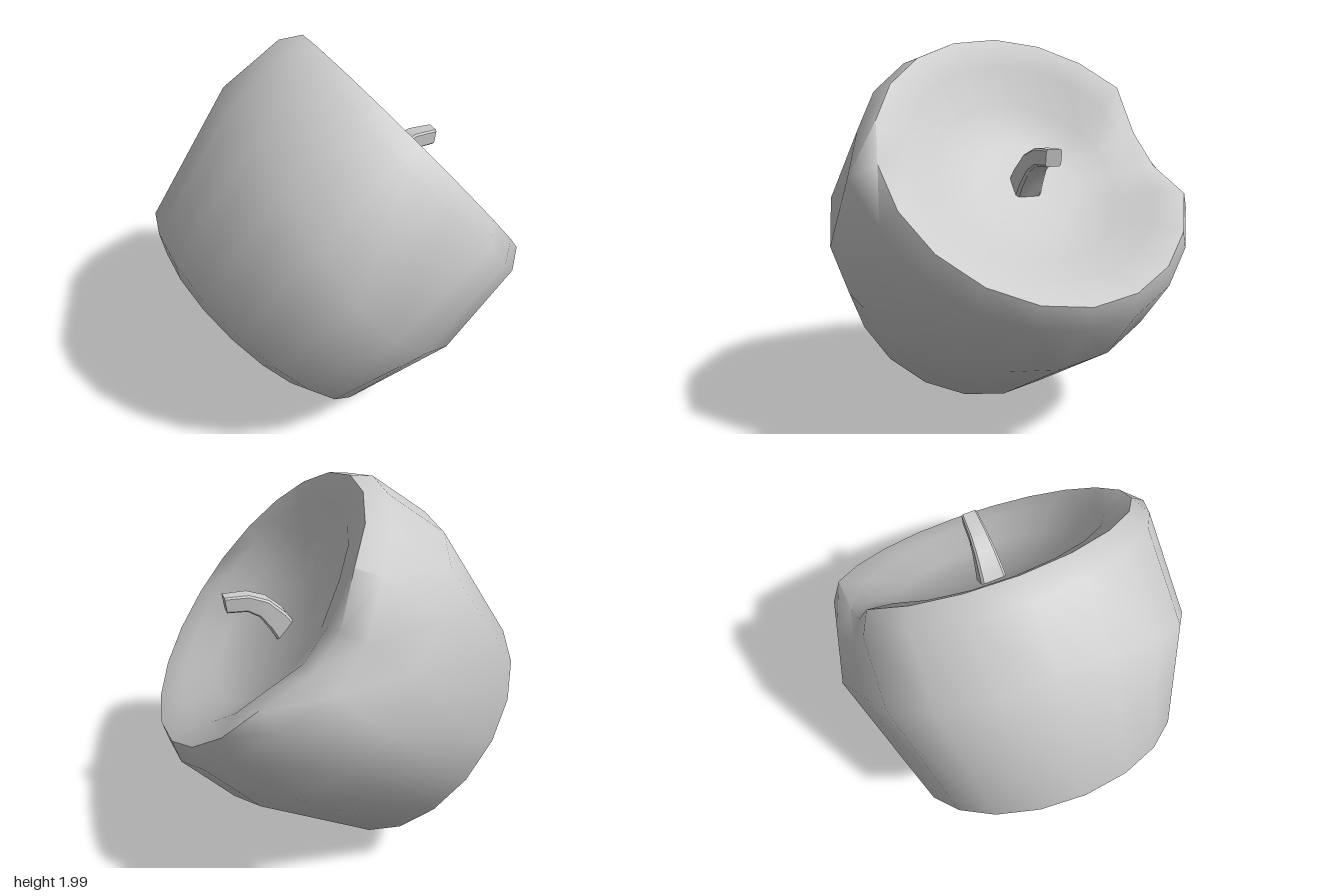
import * as THREE from 'three';
import { toCreasedNormals } from 'three/addons/utils/BufferGeometryUtils.js';

const material = new THREE.MeshStandardMaterial({ color: 0xcccccc });

// Fruit body: 20-sided lathe with a hollow top, reshaped by angle
function bodyGeometry() {
  const profile = [
    [0, -0.08], [0.54, -0.08], [0.64, -0.055], [0.755, 0.015], // base
    [0.92, 0.75], [0.88, 1.115], [0.81, 1.216],                // wall and rim
    [0.66, 1.175], [0.5, 1.065], [0.25, 1.015], [0, 1.0],      // lip and hollow
  ];
  const MID = 4, SHOULDER = 5, RIM = 6, LIP = 7;
  // Dent at the back: [radius, drop] per row, for columns 10 and 11
  const dent = {
    [MID]: [[0.94, 0], [0.89, 0]],
    [SHOULDER]: [[0.86, 0.09], [0.83, 0.1]],
    [RIM]: [[0.75, 0.1], [0.755, 0.1]],
    [LIP]: [[0.64, 0.06], [0.64, 0.06]],
  };
  const geo = new THREE.LatheGeometry(profile.map(p => new THREE.Vector2(...p)), 20);
  const pos = geo.attributes.position;
  const rows = profile.length;
  for (let i = 0; i < pos.count; i++) {
    const row = i % rows, column = Math.floor(i / rows) % 20;
    const angle = column * Math.PI / 10;
    let [r, y] = profile[row];
    // Fuller cheek on the front side
    if (row === MID) {
      const cheek = Math.max(0, Math.cos(angle)) ** 2;
      y -= 0.24 * cheek;
      r += 0.01 * cheek;
    }
    if (row === SHOULDER && column === 0) r = 0.93;
    if ((column === 10 || column === 11) && dent[row]) {
      const [radius, drop] = dent[row][column - 10];
      r = radius;
      y -= drop;
    }
    // The base sits slightly off the axis
    const shift = row < MID ? 0.025 : 0;
    pos.setXYZ(i, r * Math.sin(angle) + shift, y, r * Math.cos(angle));
  }
  return toCreasedNormals(geo, 1.05);
}

// Stem: chamfered rectangular section swept along a bent path, tapering to the tip
function stemGeometry() {
  // x, y, path angle, half height, half width
  const stations = [
    [0.225, 1.17, 0.95, 0.068, 0.077],
    [0.3, 1.285, 0.85, 0.06, 0.066],
    [0.37, 1.36, 0.55, 0.05, 0.056],
    [0.45, 1.395, 0.12, 0.044, 0.048],
    [0.565, 1.397, -0.12, 0.042, 0.042],
  ];
  const section = [
    [1, 0.8], [0.8, 1], [-0.8, 1], [-1, 0.8],
    [-1, -0.8], [-0.8, -1], [0.8, -1], [1, -0.8],
  ];
  const n = section.length, last = (stations.length - 1) * n;
  const verts = [], index = [];
  stations.forEach(([x, y, a, h, w], s) => {
    section.forEach(([p, q], k) => {
      verts.push(x - Math.sin(a) * h * p, y + Math.cos(a) * h * p, w * q);
      if (s === 0) return;
      const j = (k + 1) % n, lo = (s - 1) * n, hi = s * n;
      index.push(lo + k, lo + j, hi + j, lo + k, hi + j, hi + k);
    });
  });
  // End caps
  for (let k = 1; k < n - 1; k++) {
    index.push(0, k + 1, k, last, last + k, last + k + 1);
  }
  const geo = new THREE.BufferGeometry();
  geo.setAttribute('position', new THREE.Float32BufferAttribute(verts, 3));
  geo.setIndex(index);
  return toCreasedNormals(geo, 0.7);
}

export function createModel() {
  const model = new THREE.Group();
  model.name = 'tiltedFruit';

  const body = new THREE.Mesh(bodyGeometry(), material);
  body.name = 'fruitBody';
  body.position.set(-0.506, 0.593, 0);
  body.rotation.z = -0.864;
  model.add(body);

  const stem = new THREE.Mesh(stemGeometry(), material);
  stem.name = 'stem';
  model.add(stem);

  return model;
}
